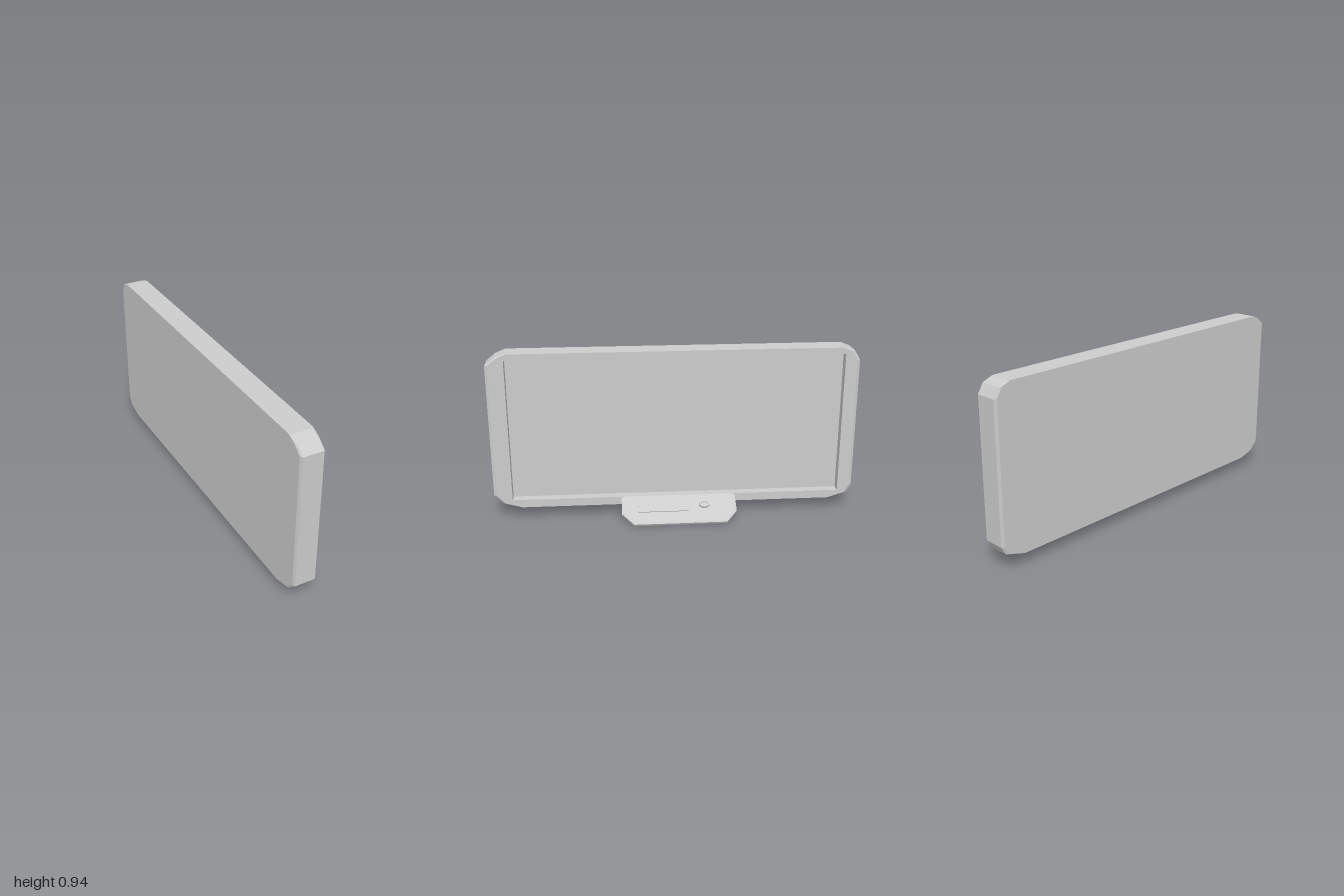
import * as THREE from 'three';

const grey = new THREE.MeshStandardMaterial({ color: 0xcccccc });
grey.name = 'plain grey';

// Skin matching rings of [x, y, z] points with flat faces; rings run anticlockwise seen from the end
function loft(rings, capStart, capEnd) {
  const pos = [];
  const tri = (a, b, c) => pos.push(...a, ...b, ...c);
  const n = rings[0].length;
  for (let k = 0; k < rings.length - 1; k++) {
    for (let i = 0; i < n; i++) {
      const j = (i + 1) % n;
      const a = rings[k][i], b = rings[k][j], c = rings[k + 1][j], d = rings[k + 1][i];
      tri(a, b, c);
      tri(a, c, d);
    }
  }
  const first = rings[0], last = rings[rings.length - 1];
  for (let i = 1; i < n - 1; i++) {
    if (capStart) tri(first[0], first[i + 1], first[i]);
    if (capEnd) tri(last[0], last[i], last[i + 1]);
  }
  const g = new THREE.BufferGeometry();
  g.setAttribute('position', new THREE.Float32BufferAttribute(pos, 3));
  g.computeVertexNormals();
  return g;
}

function addMesh(parent, name, geometry) {
  const m = new THREE.Mesh(geometry, grey);
  m.name = name;
  parent.add(m);
  return m;
}

export function createModel() {
  const model = new THREE.Group();
  model.name = 'wallDisplay';

  // Casing outline, as (-z, y), with clipped corners
  const outline = [
    [-1, 0.14], [-0.95, 0.09], [-0.86, 0.065], [0.88, 0.065], [0.975, 0.095], [1, 0.14],
    [1, 0.87], [0.97, 0.92], [0.92, 0.94], [-0.9, 0.94], [-0.95, 0.92], [-1, 0.88],
  ];
  const opening = [[-0.9, 0.11], [0.92, 0.11], [0.92, 0.905], [-0.9, 0.905]];
  const ring = (pts, x, s = 1) => pts.map(([w, y]) => [x, y, -w * s]);
  const narrow = 0.985;

  // Casing shell, bevelled at its two ends
  addMesh(model, 'casing', loft([
    ring(outline, -0.145, narrow), ring(outline, -0.138),
    ring(outline, -0.027), ring(outline, -0.02, narrow),
  ], true, false));

  // Flat rim around the screen
  const toVec = (s) => ([w, y]) => new THREE.Vector2(w * s, y);
  const rim = new THREE.Shape(outline.map(toVec(narrow)));
  rim.holes.push(new THREE.Path(opening.map(toVec(1))));
  const rimMesh = addMesh(model, 'rim', new THREE.ShapeGeometry(rim).rotateY(Math.PI / 2));
  rimMesh.position.x = -0.02;

  // Recess walls and screen face
  addMesh(model, 'screenRecess', loft([ring(opening, -0.02), ring(opening, -0.07)], false, true));

  // Sloping control tray; local x runs down the slope, local y is its thickness
  const tray = new THREE.Group();
  tray.name = 'controlTray';
  tray.position.set(-0.02, 0.11, 0);
  tray.rotation.z = -Math.PI / 6;
  model.add(tray);

  const trayOutline = [[0, 0.3], [0.115, 0.3], [0.187, 0.235], [0.187, -0.275], [0.115, -0.335], [0, -0.335]];
  const trayTop = [[0, 0.28], [0.11, 0.28], [0.175, 0.225], [0.175, -0.265], [0.11, -0.315], [0, -0.315]];
  const layer = (pts, y) => pts.map(([x, z]) => [x, y, z]);
  addMesh(tray, 'trayPlate', loft([
    layer(trayOutline, -0.018), layer(trayOutline, -0.005), layer(trayTop, 0),
  ], true, true));

  // Raised touch pad
  const pad = addMesh(tray, 'touchPad', new THREE.BoxGeometry(0.086, 0.006, 0.28));
  pad.position.set(0.068, 0.002, 0.07);

  // Oval button with a dished top
  const oval = (scale, y) => Array.from({ length: 8 }, (_, i) => {
    const a = (i + 0.5) * Math.PI / 4;
    return [0.026 * scale * Math.cos(a), y, -0.032 * scale * Math.sin(a)];
  });
  const button = addMesh(tray, 'button', loft([
    oval(1, -0.002), oval(0.95, 0.012), oval(0.6, 0.012), oval(0.55, 0.007),
  ], false, true));
  button.position.set(0.07, 0, -0.157);

  return model;
}
